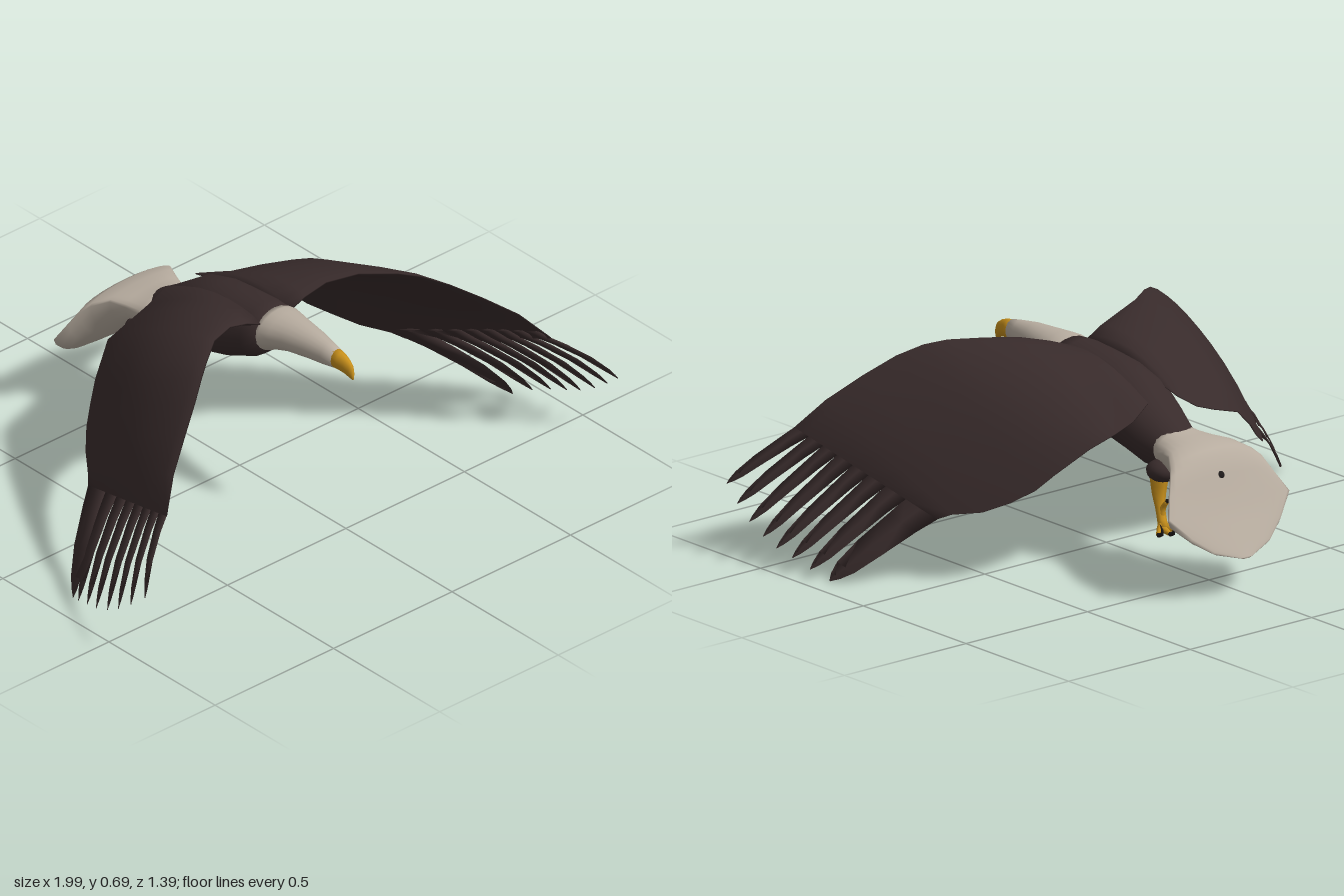
import * as THREE from 'three';

const V = (x, y, z) => new THREE.Vector3(x, y, z);
const paint = (name, color) => {
  const m = new THREE.MeshStandardMaterial({ color, side: THREE.DoubleSide });
  m.name = name;
  return m;
};

// Skin a list of equal-sized closed rings, with capped ends
function loft(rings) {
  const n = rings[0].length, pos = [], idx = [];
  rings.forEach(r => r.forEach(p => pos.push(p.x, p.y, p.z)));
  for (let i = 0; i < rings.length - 1; i++)
    for (let j = 0; j < n; j++) {
      const a = i * n + j, b = i * n + (j + 1) % n;
      idx.push(a, b, a + n, b, b + n, a + n);
    }
  const cap = (ring, start, flip) => {
    const c = ring.reduce((s, p) => s.add(p), V(0, 0, 0)).divideScalar(n);
    const k = pos.length / 3;
    pos.push(c.x, c.y, c.z);
    for (let j = 0; j < n; j++) {
      const a = start + j, b = start + (j + 1) % n;
      if (flip) idx.push(k, a, b); else idx.push(k, b, a);
    }
  };
  cap(rings[0], 0, false);
  cap(rings[rings.length - 1], (rings.length - 1) * n, true);
  const g = new THREE.BufferGeometry();
  g.setAttribute('position', new THREE.Float32BufferAttribute(pos, 3));
  g.setIndex(idx);
  g.computeVertexNormals();
  return g;
}

// Oval cross-sections along z: [z, top, bottom, halfWidth, edgeHeight]
function ovalLoft(sections, n = 20) {
  return loft(sections.map(([z, top, bot, w, edge = (top + bot) / 2]) =>
    Array.from({ length: n }, (_, j) => {
      const a = -j / n * Math.PI * 2, s = Math.sin(a);
      return V(w * Math.cos(a), edge + s * (s > 0 ? top - edge : edge - bot), z);
    })));
}

// Tapered round limb along a curve
function limb(points, radii, n = 8, steps = 8) {
  const curve = new THREE.CatmullRomCurve3(points.map(p => V(...p)));
  const f = curve.computeFrenetFrames(steps);
  return loft(Array.from({ length: steps + 1 }, (_, i) => {
    const u = i / steps * (radii.length - 1), k = Math.min(Math.floor(u), radii.length - 2);
    const r = THREE.MathUtils.lerp(radii[k], radii[k + 1], u - k);
    const c = curve.getPointAt(i / steps);
    return Array.from({ length: n }, (_, j) => {
      const a = j / n * Math.PI * 2;
      return c.clone().addScaledVector(f.normals[i], r * Math.cos(a)).addScaledVector(f.binormals[i], r * Math.sin(a));
    });
  }));
}

// Wing stations: leading edge point, trailing edge point, thickness
const stations = [
  [V(.06, .625, .16), V(.06, .55, -.29), .05],
  [V(.12, .655, .165), V(.13, .505, -.30), .045],
  [V(.2, .68, .175), V(.2, .48, -.30), .04],
  [V(.3, .69, .215), V(.3, .45, -.295), .036],
  [V(.4, .685, .29), V(.4, .37, -.24), .032],
  [V(.46, .67, .335), V(.45, .32, -.205), .03],
  [V(.53, .635, .385), V(.51, .28, -.155), .027],
  [V(.62, .575, .44), V(.57, .245, -.09), .022],
  [V(.72, .5, .5), V(.63, .23, -.01), .016],
  [V(.8, .41, .56), V(.66, .212, .025), .008],
];

function wingGeometry() {
  const m = 7;
  return loft(stations.map(([L, T, thick], i) => {
    const before = stations[Math.max(i - 1, 0)], after = stations[Math.min(i + 1, stations.length - 1)];
    const span = after[0].clone().add(after[1]).sub(before[0]).sub(before[1]);
    const up = span.cross(T.clone().sub(L)).normalize();
    const bow = .03 * Math.min(1, thick / .03);
    const at = (t, side) => L.clone().lerp(T, t).addScaledVector(up,
      bow * Math.sin(Math.PI * t) + side * thick * 1.3 * Math.sqrt(t) * (1 - t) + side * .002);
    const ring = [];
    for (let k = 0; k <= m; k++) ring.push(at((k / m) ** 1.4, 1));
    for (let k = m; k >= 0; k--) ring.push(at((k / m) ** 1.4, -1));
    return ring;
  }));
}

// Flight feather tips, from leading to trailing
const tips = [
  [.985, .235, .67], [.992, .185, .61], [.992, .14, .55], [.985, .105, .49],
  [.98, .08, .43], [.965, .06, .37], [.945, .035, .305], [.915, .005, .245],
];
const splits = [0, .1, .2, .3, .41, .52, .64, .78, 1];

function featherGeometry(i) {
  const [L, T] = stations[stations.length - 1], tip = V(...tips[i]);
  const a = L.clone().lerp(T, splits[i]), b = L.clone().lerp(T, splits[i + 1]);
  const root = a.clone().add(b).multiplyScalar(.5), half = b.clone().sub(a).multiplyScalar(.5);
  const up = tip.clone().sub(root).cross(half).normalize();
  const profile = [[-.15, .9], [0, 1.03], [.2, .9], [.55, .76], [.82, .55], [.93, .3], [1, .03]];
  return loft(profile.map(([s, w]) => {
    const c = root.clone().lerp(tip, s).addScaledVector(up, .012 * Math.sin(Math.PI * Math.max(s, 0)));
    const h = .005 * (1 - .7 * Math.max(s, 0));
    return [c.clone().addScaledVector(half, w), c.clone().addScaledVector(up, h),
      c.clone().addScaledVector(half, -w), c.clone().addScaledVector(up, -h)];
  }));
}

export function createModel() {
  const brown = paint('dark brown plumage', 0x382b2b);
  const white = paint('pale plumage', 0xb8ada0);
  const yellow = paint('yellow beak and feet', 0xc8901c);
  const black = paint('black claws', 0x1e1a1a);
  const bird = new THREE.Group();
  bird.name = 'flyingBird';
  const add = (parent, name, geometry, material) => {
    const mesh = new THREE.Mesh(geometry, material);
    mesh.name = name;
    parent.add(mesh);
    return mesh;
  };

  // Trunk, head, beak and tail
  const core = new THREE.Group();
  core.name = 'core';
  core.position.x = .016;
  bird.add(core);
  add(core, 'body', ovalLoft([
    [.16, .652, .51, .09], [.1, .655, .46, .108], [0, .646, .415, .122], [-.1, .635, .385, .125],
    [-.2, .605, .36, .12], [-.28, .548, .335, .108], [-.345, .502, .33, .09], [-.375, .482, .37, .075], [-.4, .468, .42, .045],
  ]), brown);
  add(core, 'head', ovalLoft([
    [.14, .652, .5, .09], [.165, .656, .512, .091], [.2, .656, .53, .08], [.25, .655, .545, .066],
    [.33, .652, .556, .05], [.4, .643, .562, .036], [.44, .636, .568, .027],
  ]), white);
  add(core, 'beak', ovalLoft([
    [.425, .638, .568, .029], [.46, .633, .57, .024], [.485, .625, .567, .018],
    [.505, .613, .56, .012], [.514, .6, .556, .007], [.518, .58, .558, .003],
  ], 12), yellow);
  add(core, 'tail', ovalLoft([
    [-.335, .49, .345, .08, .42], [-.38, .475, .355, .1, .42], [-.43, .467, .335, .115, .43],
    [-.48, .461, .3, .135, .435], [-.53, .448, .262, .17, .41], [-.555, .43, .242, .192, .385],
    [-.58, .375, .222, .218, .34], [-.615, .292, .196, .25, .28], [-.65, .23, .169, .185, .212],
    [-.68, .176, .146, .115, .162], [-.704, .136, .13, .02, .133],
  ], 24), white);
  const spot = add(core, 'tailSpot', new THREE.SphereGeometry(.012, 12, 8), black);
  spot.scale.z = .35;
  spot.position.set(0, .376, -.58);
  spot.rotation.x = .4;

  // Legs with feathered thighs, toes and claws
  for (const s of [1, -1]) {
    const leg = new THREE.Group();
    leg.name = s > 0 ? 'leftLeg' : 'rightLeg';
    leg.scale.x = s;
    core.add(leg);
    const thigh = add(leg, 'thigh', new THREE.SphereGeometry(1, 14, 10), brown);
    thigh.scale.set(.05, .036, .055);
    thigh.position.set(.083, .36, -.39);
    add(leg, 'shank', limb([[.07, .345, -.36], [.075, .27, -.365], [.085, .2, -.39], [.09, .175, -.405]], [.033, .024, .015, .016]), yellow);
    [[.05, -.425], [.09, -.435], [.125, -.42]].forEach(([x, z], i) => {
      add(leg, 'toe' + i, limb([[.088, .19, -.395], [(x + .088) / 2, .172, -.405], [x, .163, z]], [.013, .011, .008], 6, 6), yellow);
      add(leg, 'claw' + i, limb([[x, .163, z], [x, .165, z - .015], [x, .182, z - .02], [x, .2, z - .008]], [.008, .005, .001], 6, 6), black);
    });
    add(leg, 'hindToe', limb([[.085, .2, -.39], [.082, .235, -.392], [.08, .262, -.41]], [.012, .01, .008], 6, 6), yellow);
    add(leg, 'hindClaw', limb([[.08, .262, -.41], [.08, .268, -.428], [.08, .258, -.443], [.08, .24, -.446]], [.008, .005, .001], 6, 6), black);
  }

  // Mirrored wings with separate flight feathers
  const wings = new THREE.Group();
  wings.name = 'wings';
  wings.rotation.y = -.015;
  bird.add(wings);
  const wingGeo = wingGeometry(), featherGeos = tips.map((_, i) => featherGeometry(i));
  for (const s of [1, -1]) {
    const wing = new THREE.Group();
    wing.name = s > 0 ? 'leftWing' : 'rightWing';
    wing.scale.x = s;
    wing.position.x = .008;
    wings.add(wing);
    add(wing, 'wingPanel', wingGeo, brown);
    featherGeos.forEach((g, i) => add(wing, 'flightFeather' + i, g, brown));
  }
  return bird;
}
